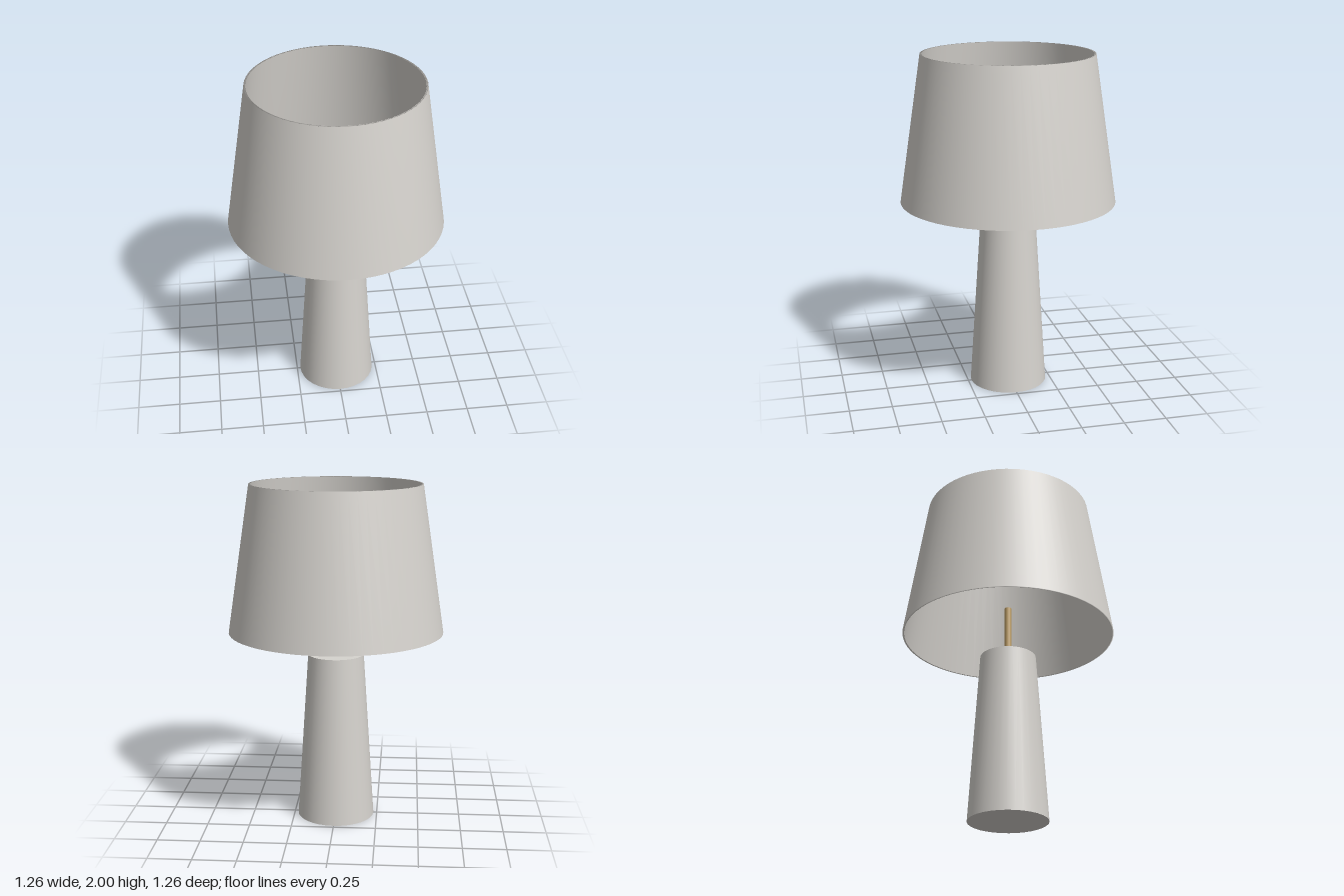
import * as THREE from 'three';

export function createModel() {
  const group = new THREE.Group();

  const ceramic = new THREE.MeshStandardMaterial({ color: 0xd6d3ce });
  ceramic.name = 'warm white';
  const brass = new THREE.MeshStandardMaterial({ color: 0xc4a46c });
  brass.name = 'brass';

  const add = (name, geometry, material, y = 0) => {
    const mesh = new THREE.Mesh(geometry, material);
    mesh.name = name;
    mesh.position.y = y;
    group.add(mesh);
  };

  // Tapered solid base
  add('base', new THREE.CylinderGeometry(0.165, 0.23, 1, 32), ceramic, 0.5);

  // Thin rod rising into the shade
  add('rod', new THREE.CylinderGeometry(0.02, 0.02, 0.33, 16), brass, 1.165);

  // Open shade with a thin wall, normals blended softly around the rims
  const profile = [
    [0.62, 1.14], [0.63, 1.14], [0.5, 2], [0.49, 2], [0.62, 1.14],
  ].map(([r, y]) => new THREE.Vector2(r, y));
  add('shade', new THREE.LatheGeometry(profile, 64), ceramic);

  return group;
}
